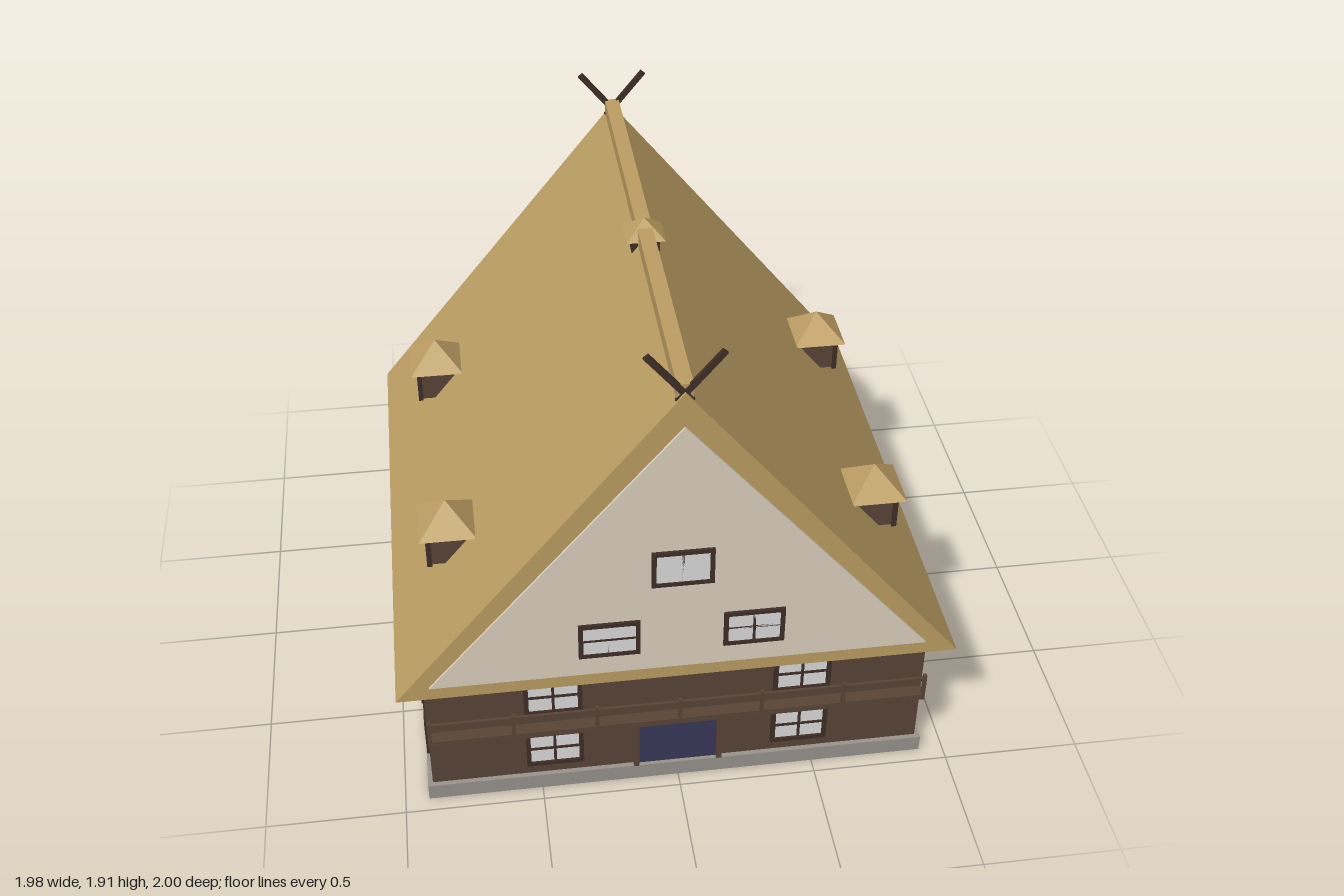
import * as THREE from 'three';

const mat = (name, color) => {
  const m = new THREE.MeshStandardMaterial({ color });
  m.name = name;
  return m;
};

export function createModel() {
  const timber = mat('brown timber', 0x5a4437);
  const darkWood = mat('dark wood', 0x3f2e26);
  const thatch = mat('thatch', 0xbd9e63);
  const plaster = mat('plaster', 0xdcd1bf);
  const stone = mat('stone', 0x98938c);
  const glass = mat('pale glass', 0xdcdddd);
  const doorBlue = mat('door blue', 0x38385a);

  const model = new THREE.Group();
  model.name = 'thatchedFarmhouse';

  const mesh = (parent, name, geo, material, x = 0, y = 0, z = 0) => {
    const m = new THREE.Mesh(geo, material);
    m.name = name;
    m.position.set(x, y, z);
    parent.add(m);
    return m;
  };
  // Box given by its minimum and maximum on each axis
  const box = (parent, name, material, [x0, x1], [y0, y1], [z0, z1]) =>
    mesh(parent, name, new THREE.BoxGeometry(x1 - x0, y1 - y0, z1 - z0), material,
      (x0 + x1) / 2, (y0 + y1) / 2, (z0 + z1) / 2);

  const group = (parent, name) => {
    const g = new THREE.Group();
    g.name = name;
    parent.add(g);
    return g;
  };

  // Triangular prism centred on z
  const prism = (name, material, halfWidth, y0, y1, depth, z) => {
    const s = new THREE.Shape([
      new THREE.Vector2(-halfWidth, y0), new THREE.Vector2(halfWidth, y0), new THREE.Vector2(0, y1)]);
    const geo = new THREE.ExtrudeGeometry(s, { depth, bevelEnabled: false });
    geo.translate(0, 0, -depth / 2);
    return mesh(model, name, geo, material, 0, 0, z);
  };

  // Four-sided pyramid roof standing on y
  const pyramid = (parent, name, w, h, d, x, y, z) => {
    const geo = new THREE.ConeGeometry(Math.SQRT1_2, 1, 4, 1).rotateY(Math.PI / 4).toNonIndexed();
    geo.scale(w, h, d);
    geo.computeVertexNormals();
    return mesh(parent, name, geo, thatch, x, y + h / 2, z);
  };

  // Framed window facing its local +z, its back at z = 0
  const addWindow = (parent, w, h, cols, x, y, z, turn, border = 0.016, depth = 0.014) => {
    const g = group(parent, 'window');
    g.position.set(x, y, z);
    g.rotation.y = turn;
    const W = w / 2, H = h / 2, bar = 0.005;
    box(g, 'windowGlass', glass, [-W + border, W - border], [-H + border, H - border], [0, 0.006]);
    for (const s of [-1, 1]) {
      const sx = s * (W - border / 2), sy = s * (H - border / 2);
      box(g, 'windowJamb', darkWood, [sx - border / 2, sx + border / 2], [-H, H], [-0.004, depth]);
      box(g, 'windowRail', darkWood, [-W + border, W - border], [sy - border / 2, sy + border / 2], [-0.004, depth]);
    }
    for (let i = 1; i < cols; i++) {
      const bx = -W + border + (w - 2 * border) * i / cols;
      box(g, 'windowMullion', darkWood, [bx - bar, bx + bar], [-H + border, H - border], [0, depth - 0.004]);
    }
    box(g, 'windowCrossbar', darkWood, [-W + border, W - border], [-bar, bar], [0, depth - 0.004]);
  };

  // Base and walls
  box(model, 'foundation', stone, [-0.913, 0.913], [0, 0.065], [-0.946, 0.946]);
  box(model, 'walls', timber, [-0.895, 0.895], [0.065, 0.55], [-0.928, 0.928]);

  // Roof, ridge and gables
  prism('thatchedRoof', thatch, 0.99, 0.545, 1.765, 1.958, 0.002);
  box(model, 'ridgeCap', thatch, [-0.027, 0.027], [1.72, 1.79], [-0.972, 0.968]);
  for (const s of [-1, 1]) {
    prism('gablePanel', plaster, 0.871, 0.603, 1.638, 0.02, s * 0.98);
    const turn = s > 0 ? 0 : Math.PI;
    for (const [x, y] of [[0, 1.06], [-0.25, 0.763], [0.25, 0.763]])
      addWindow(model, 0.212, 0.15, 2, x, y, s * 0.99, turn, 0.016, 0.01);
    for (const x of [-0.447, 0.447])
      for (const y of [0.195, 0.455])
        addWindow(model, 0.207, 0.165, 2, x, y, s * 0.928, turn);
    // Crossed boards on the gable tip
    for (const t of [-1, 1]) {
      const b = mesh(model, 'crossedGableBoard', new THREE.BoxGeometry(0.022, 0.23, 0.012), darkWood,
        t * 0.05, 1.815, s * 0.966);
      b.rotation.z = -t * 0.69;
    }
  }

  // Windows and dormers of the long sides
  for (const s of [-1, 1]) {
    const turn = s * Math.PI / 2;
    for (const z of [-0.695, -0.232, 0.232, 0.695])
      for (const y of [0.193, 0.455])
        addWindow(model, 0.268, 0.165, 3, s * 0.895, y, z, turn);
    for (const z of [-0.5, 0.5]) {
      const d = group(model, 'dormer');
      d.position.set(s * 0.77, 0, z);
      mesh(d, 'dormerBody', new THREE.BoxGeometry(0.2, 0.135, 0.14), timber, -s * 0.034, 0.8645, 0);
      pyramid(d, 'dormerRoof', 0.204, 0.098, 0.217, 0, 0.93, 0);
      addWindow(d, 0.155, 0.112, 2, s * 0.066, 0.848, 0, turn, 0.022);
    }
  }

  // Small vent turret on the ridge
  box(model, 'ridgeVent', darkWood, [-0.05, 0.05], [1.705, 1.76], [-0.05, 0.05]);
  pyramid(model, 'ridgeVentRoof', 0.138, 0.062, 0.138, 0, 1.755, 0);

  // Front door
  box(model, 'door', doorBlue, [-0.142, 0.142], [0.067, 0.285], [0.92, 0.934]);
  for (const s of [-1, 1])
    mesh(model, 'doorPost', new THREE.BoxGeometry(0.02, 0.245, 0.03), timber, s * 0.152, 0.1875, 0.933);
  box(model, 'doorLintel', timber, [-0.162, 0.162], [0.285, 0.31], [0.92, 0.948]);

  // Balcony across the front
  const balcony = group(model, 'balcony');
  box(balcony, 'balconyFloor', timber, [-0.895, 0.895], [0.308, 0.322], [0.92, 0.985]);
  box(balcony, 'balconyHandrail', timber, [-0.89, 0.89], [0.4, 0.416], [0.974, 0.984]);
  box(balcony, 'balconyLowerRail', timber, [-0.89, 0.89], [0.322, 0.332], [0.974, 0.984]);
  for (let i = -3; i <= 3; i++)
    mesh(balcony, 'balconyPost', new THREE.BoxGeometry(0.013, 0.108, 0.013), timber, i * 0.296, 0.373, 0.979);

  // Storage bin against the side wall
  box(model, 'storageBin', timber, [0.9, 0.992], [0.065, 0.217], [-0.792, -0.455]);
  box(model, 'storageBinTop', stone, [0.911, 0.98], [0.217, 0.25], [-0.77, -0.478]);

  model.position.x = -0.002;
  return model;
}
